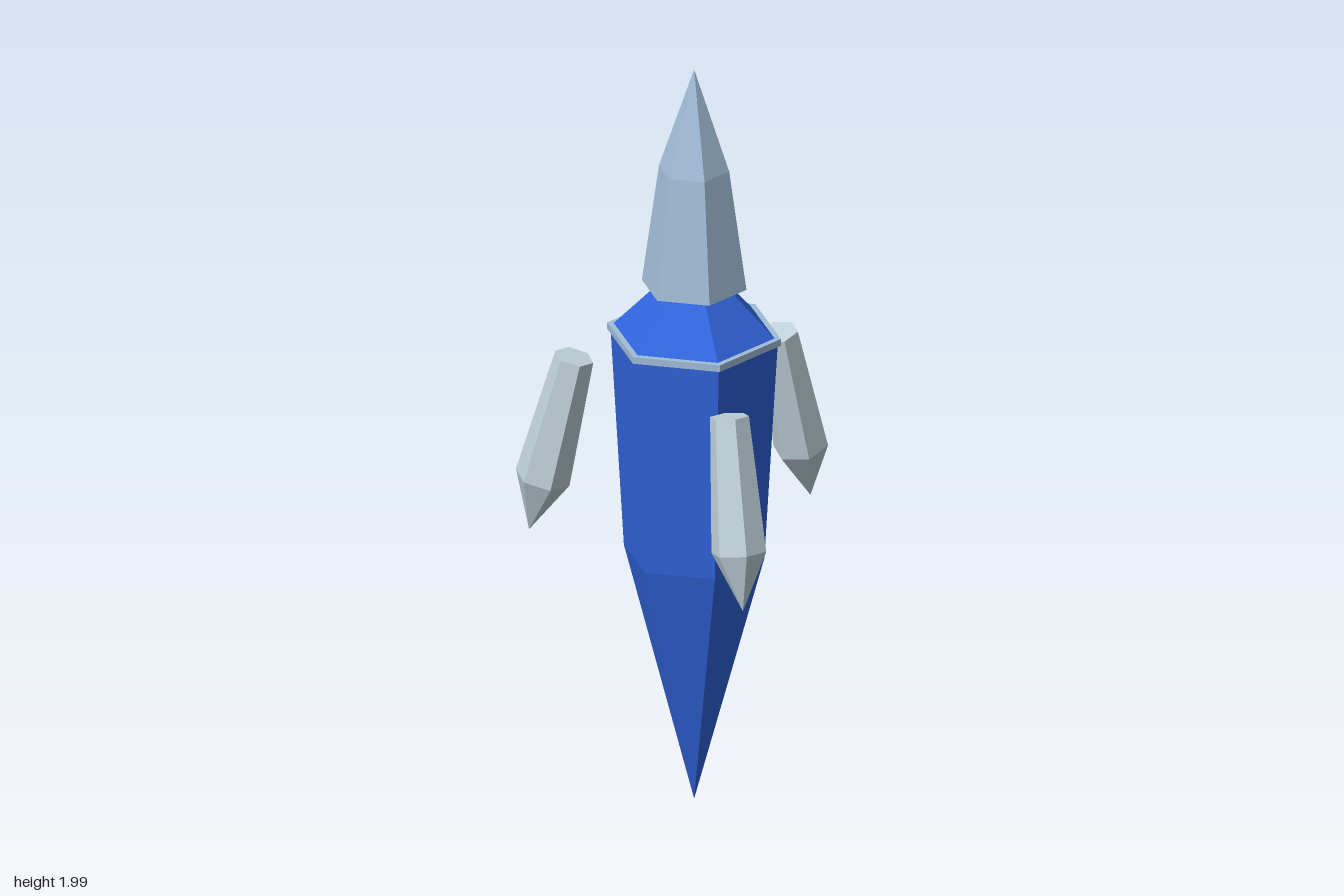
import * as THREE from 'three';

const AXIS_Z = 0.097; // the body axis sits slightly forward of the centre

// Six-sided faceted solid from a [radius, height] profile, listed bottom to top
function hexSolid(name, profile, material) {
  const points = profile.map(([r, y]) => new THREE.Vector2(r, y));
  const geometry = new THREE.LatheGeometry(points, 6).toNonIndexed();
  geometry.computeVertexNormals();
  const mesh = new THREE.Mesh(geometry, material);
  mesh.name = name;
  return mesh;
}

export function createModel() {
  const blue = new THREE.MeshStandardMaterial({ color: 0x3064dc, flatShading: true });
  blue.name = 'blue';
  const steel = new THREE.MeshStandardMaterial({ color: 0xa2bdd8, flatShading: true });
  steel.name = 'steel blue';
  const pale = new THREE.MeshStandardMaterial({ color: 0xc0d3db, flatShading: true });
  pale.name = 'pale grey';

  const model = new THREE.Group();
  model.name = 'crystalSpire';

  // Central column
  const column = new THREE.Group();
  column.name = 'column';
  column.position.z = AXIS_Z;
  column.add(
    hexSolid('body', [[0, 0.01], [0.18, 0.685], [0.214, 1.27], [0, 1.27]], blue),
    hexSolid('collar', [[0, 1.269], [0.2225, 1.269], [0.2225, 1.287], [0, 1.287]], steel),
    hexSolid('shoulder', [[0.206, 1.287], [0.085, 1.413], [0, 1.413]], blue),
    hexSolid('cap', [[0, 1.412], [0.134, 1.412], [0.09, 1.73], [0, 2]], steel)
  );
  model.add(column);

  // Three floating shards around the column, hanging down and leaning outward
  for (let i = 0; i < 3; i++) {
    const pivot = new THREE.Group();
    pivot.name = ['backShard', 'leftShard', 'rightShard'][i];
    pivot.position.z = AXIS_Z;
    pivot.rotation.y = Math.PI + i * Math.PI * 2 / 3;
    const shard = hexSolid('shard', [[0, -0.496], [0.0705, -0.346], [0.05, 0], [0, 0]], pale);
    shard.position.set(0, 1.184, 0.307);
    shard.rotation.x = -THREE.MathUtils.degToRad(13.5);
    pivot.add(shard);
    model.add(pivot);
  }
  return model;
}
